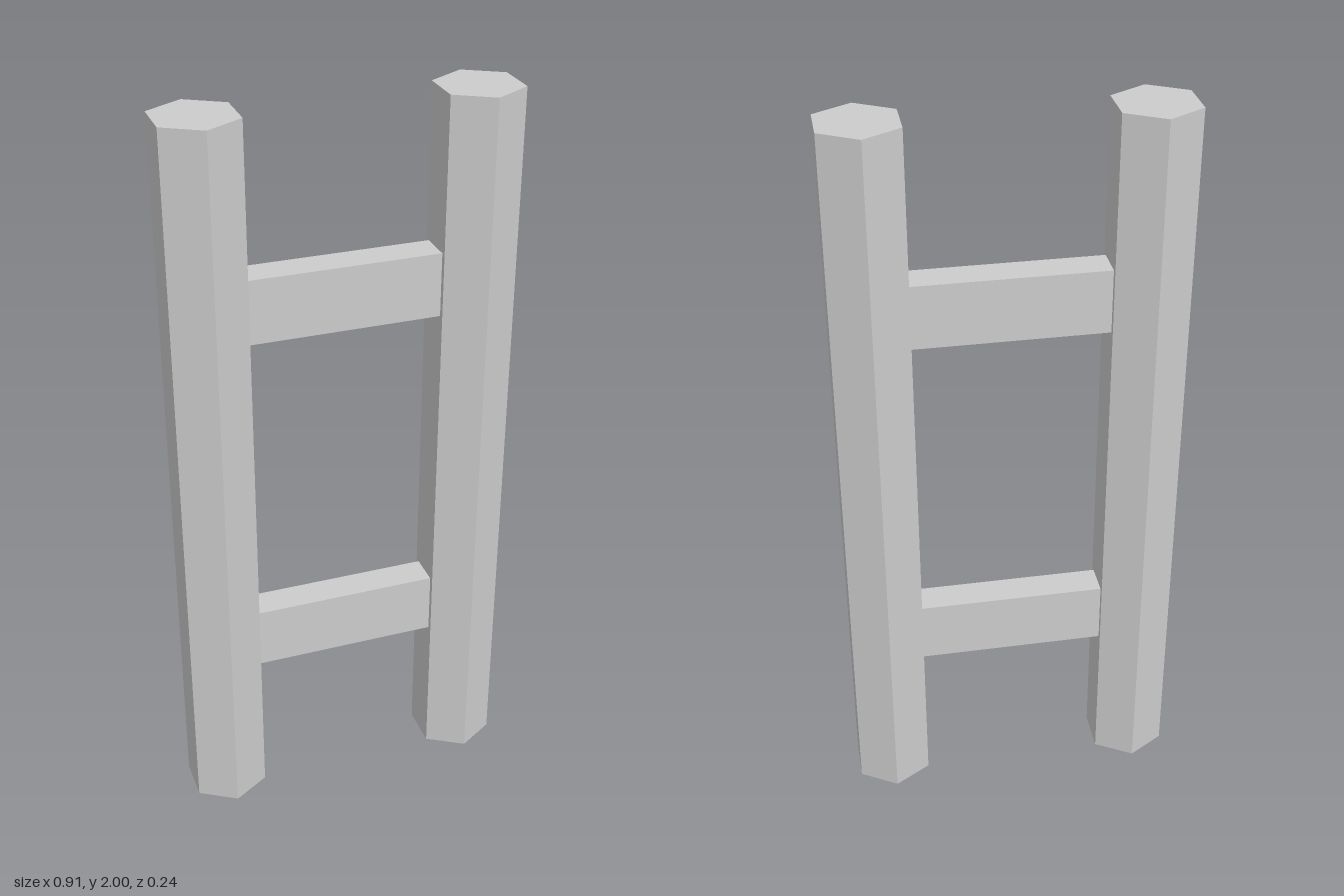
import * as THREE from 'three';

export function createModel() {
  const model = new THREE.Group();
  const material = new THREE.MeshStandardMaterial({ color: 0xcccccc, flatShading: true });

  function addPart(name, geometry, x, y) {
    const mesh = new THREE.Mesh(geometry, material);
    mesh.name = name;
    mesh.position.set(x, y, 0);
    model.add(mesh);
  }

  // Hexagonal posts, corners pointing to the front and back
  const postGeometry = new THREE.CylinderGeometry(0.119, 0.119, 2, 6);
  postGeometry.scale(0.97, 1, 1);
  addPart('leftPost', postGeometry, 0.356, 1);
  addPart('rightPost', postGeometry, -0.356, 1);

  // Rails running between the inner faces of the posts
  const railGeometry = new THREE.BoxGeometry(0.514, 0.174, 0.09);
  addPart('lowerRail', railGeometry, 0, 0.502);
  addPart('upperRail', railGeometry, 0, 1.502);

  return model;
}
